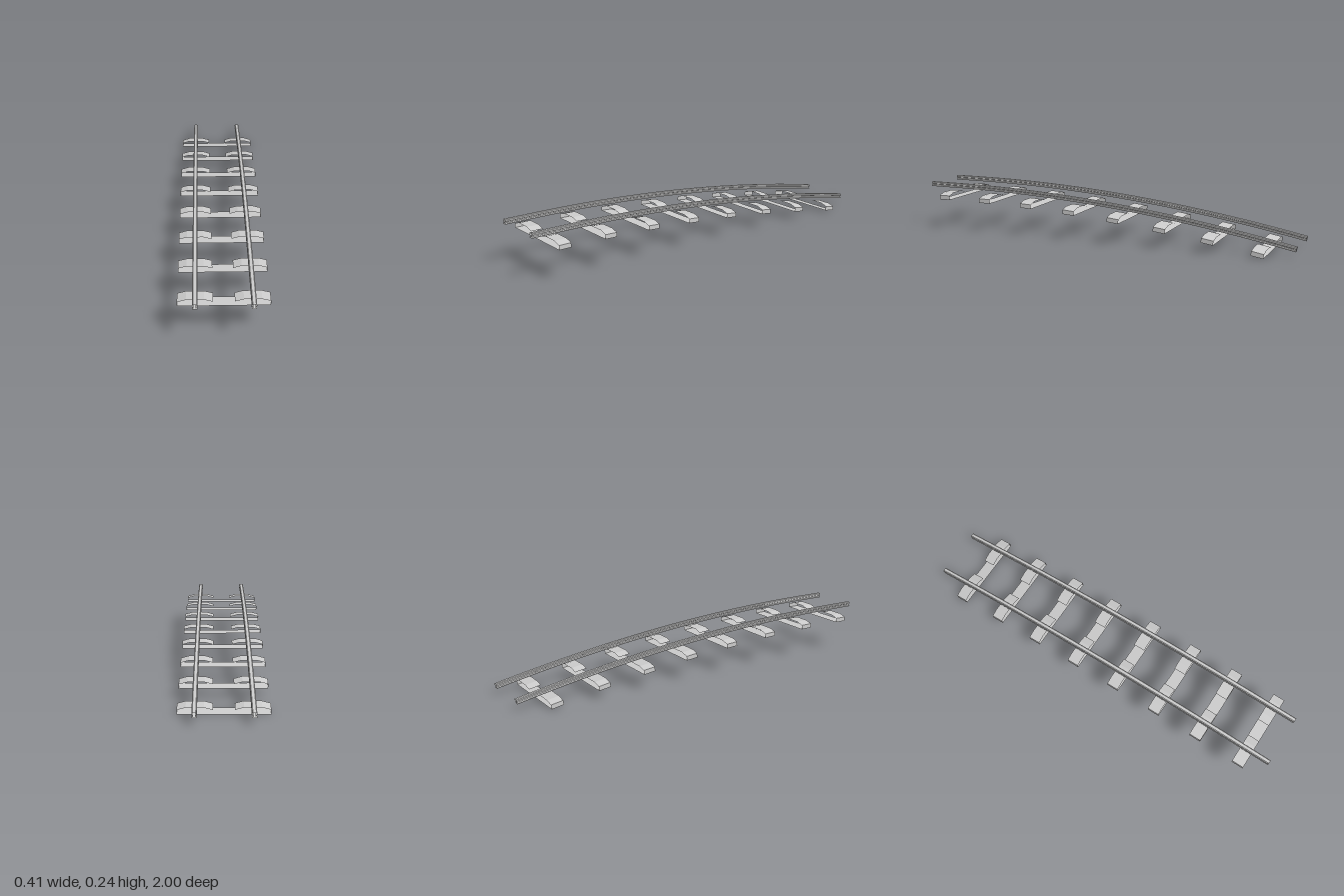
import * as THREE from 'three';

const material = new THREE.MeshStandardMaterial({
  color: 0xcccccc, flatShading: true, side: THREE.DoubleSide,
});

// Track path: level at the front, then falling away in a gentle arc
const START = 0.85, BEND = 0.054;
const drop = (z) => Math.max(0, START - z);
const pathY = (z) => 0.214 - BEND * drop(z) ** 2;
const pathAngle = (z) => -Math.atan(2 * BEND * drop(z));

// Faceted strip joining successive copies of an open or closed [x, y] profile
function loft(rows) {
  const n = rows[0].length, index = [];
  for (let i = 0; i < rows.length - 1; i++) {
    for (let j = 0; j < n - 1; j++) {
      const a = i * n + j, d = a + n;
      index.push(a, a + 1, d + 1, a, d + 1, d);
    }
  }
  const indexed = new THREE.BufferGeometry().setFromPoints(rows.flat());
  indexed.setIndex(index);
  const geometry = indexed.toNonIndexed();
  geometry.computeVertexNormals();
  return geometry;
}

// Rail section: bevelled head, narrow web and sloping foot
const railHalf = [
  [0.007, 0.024], [0.011, 0.021], [0.011, 0.014], [0.004, 0.011],
  [0.004, 0.006], [0.011, 0.003], [0.011, 0],
];
const mirrorX = (points) => points.map(([x, y]) => [-x, y]).reverse();
const railProfile = [...railHalf, ...mirrorX(railHalf), railHalf[0]];

// Sleeper section: flat base, upright ends and a raised pad under each rail
const sleeperHalf = [
  [0.047, 0.022], [0.086, 0.033], [0.164, 0.033], [0.203, 0.022], [0.203, 0],
];
const sleeperProfile = [...sleeperHalf, ...mirrorX(sleeperHalf)];

function makeRailGeometry() {
  const rows = [], steps = 24;
  for (let i = 0; i <= steps; i++) {
    const z = 1 - (1.995 * i) / steps, angle = pathAngle(z);
    rows.push(railProfile.map(([x, y]) => new THREE.Vector3(
      x, pathY(z) + y * Math.cos(angle), z + y * Math.sin(angle))));
  }
  return loft(rows);
}

function makeSleeperGeometry() {
  const length = 0.062;
  return loft([length / 2, -length / 2].map((z) =>
    sleeperProfile.map(([x, y]) => new THREE.Vector3(x, y, z))));
}

export function createModel() {
  const model = new THREE.Group();
  model.name = 'curvedTrack';

  // Pair of rails
  const railGeometry = makeRailGeometry();
  for (const [name, side] of [['leftRail', 1], ['rightRail', -1]]) {
    const rail = new THREE.Mesh(railGeometry, material);
    rail.name = name;
    rail.position.x = side * 0.125;
    model.add(rail);
  }

  // Sleepers hang below the rails and tilt with the path
  const sleeperGeometry = makeSleeperGeometry();
  const gap = 0.056;
  for (let i = 0; i < 8; i++) {
    const z = 0.875 - i * 0.2446, angle = pathAngle(z);
    const sleeper = new THREE.Mesh(sleeperGeometry, material);
    sleeper.name = `sleeper${i + 1}`;
    sleeper.position.set(0, pathY(z) - gap * Math.cos(angle), z - gap * Math.sin(angle));
    sleeper.rotation.x = angle;
    model.add(sleeper);
  }

  // Rest the lowest sleeper on the ground
  model.position.y = -new THREE.Box3().setFromObject(model, true).min.y;
  return model;
}
